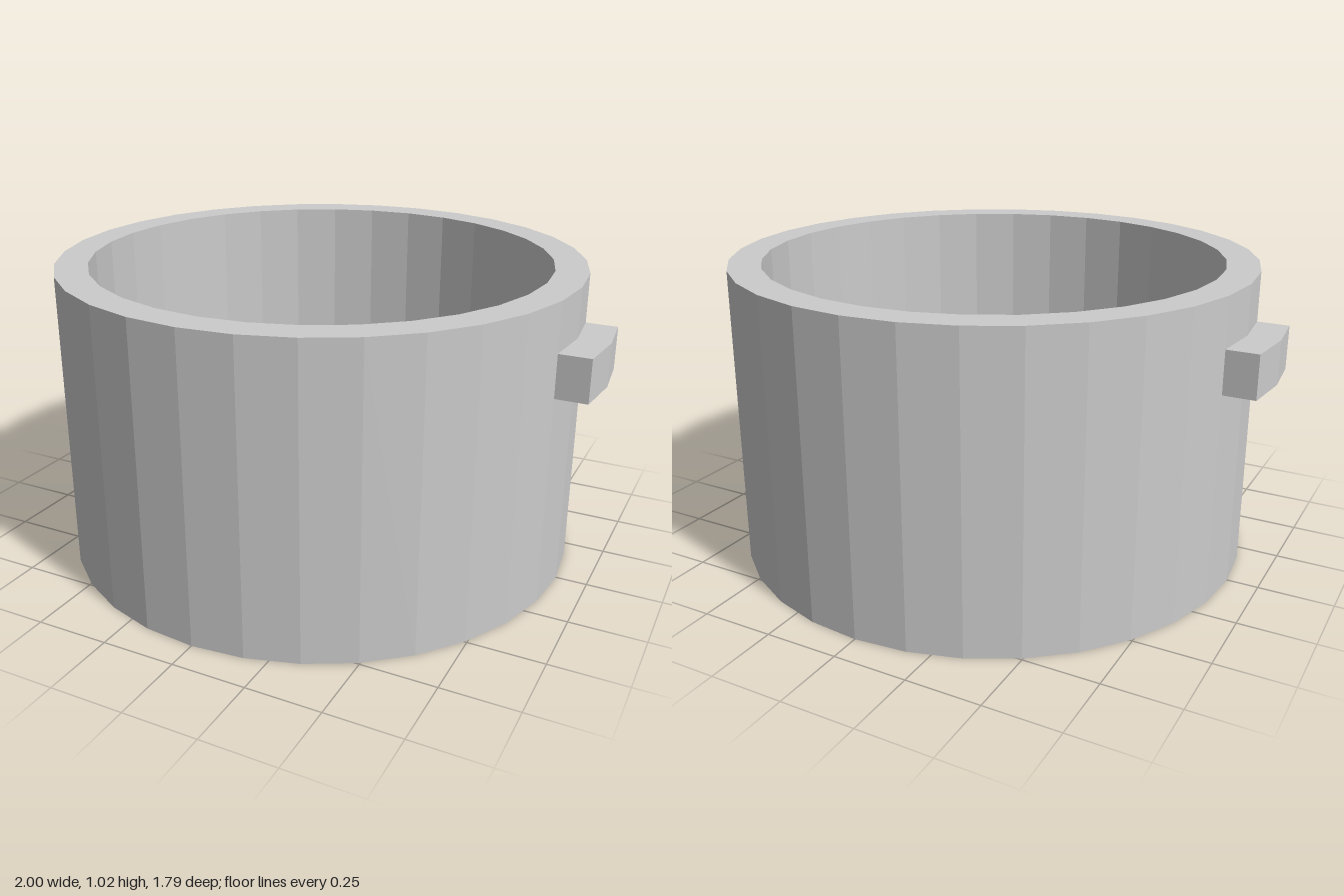
import * as THREE from 'three';

const SIDES = 32;
const OUTER = 0.895, INNER = 0.785, HEIGHT = 1.025, FLOOR = 0.11;
const GRIP_BOTTOM = 0.715, GRIP_HEIGHT = 0.145, GRIP_REACH = 0.105;

export function createModel() {
  const model = new THREE.Group();
  model.name = 'cookingPot';
  const material = new THREE.MeshStandardMaterial({ color: 0xcccccc, flatShading: true });

  // Hollow body: underside, outer wall, rim, inner wall, floor
  const profile = [
    [0, 0], [OUTER, 0], [OUTER, HEIGHT], [INNER, HEIGHT], [INNER, FLOOR], [0, FLOOR],
  ].map(([r, y]) => new THREE.Vector2(r, y));
  const body = new THREE.Mesh(new THREE.LatheGeometry(profile, SIDES), material);
  body.name = 'potBody';
  model.add(body);

  // Grip: follows two wall facets, pushed straight outwards
  const step = (2 * Math.PI) / SIDES;
  const wall = [-step, 0, step].map(a => new THREE.Vector2(OUTER * Math.cos(a), OUTER * Math.sin(a)));
  const outside = wall.map(p => new THREE.Vector2(p.x + GRIP_REACH, p.y));
  const gripShape = new THREE.Shape([...outside, ...wall.reverse()]);
  const gripGeometry = new THREE.ExtrudeGeometry(gripShape, { depth: GRIP_HEIGHT, bevelEnabled: false });
  gripGeometry.rotateX(-Math.PI / 2).translate(0, GRIP_BOTTOM, 0);

  // One grip on each side
  for (const [name, turn] of [['leftHandle', 0], ['rightHandle', Math.PI]]) {
    const grip = new THREE.Mesh(gripGeometry, material);
    grip.name = name;
    grip.rotation.y = turn;
    model.add(grip);
  }
  return model;
}
